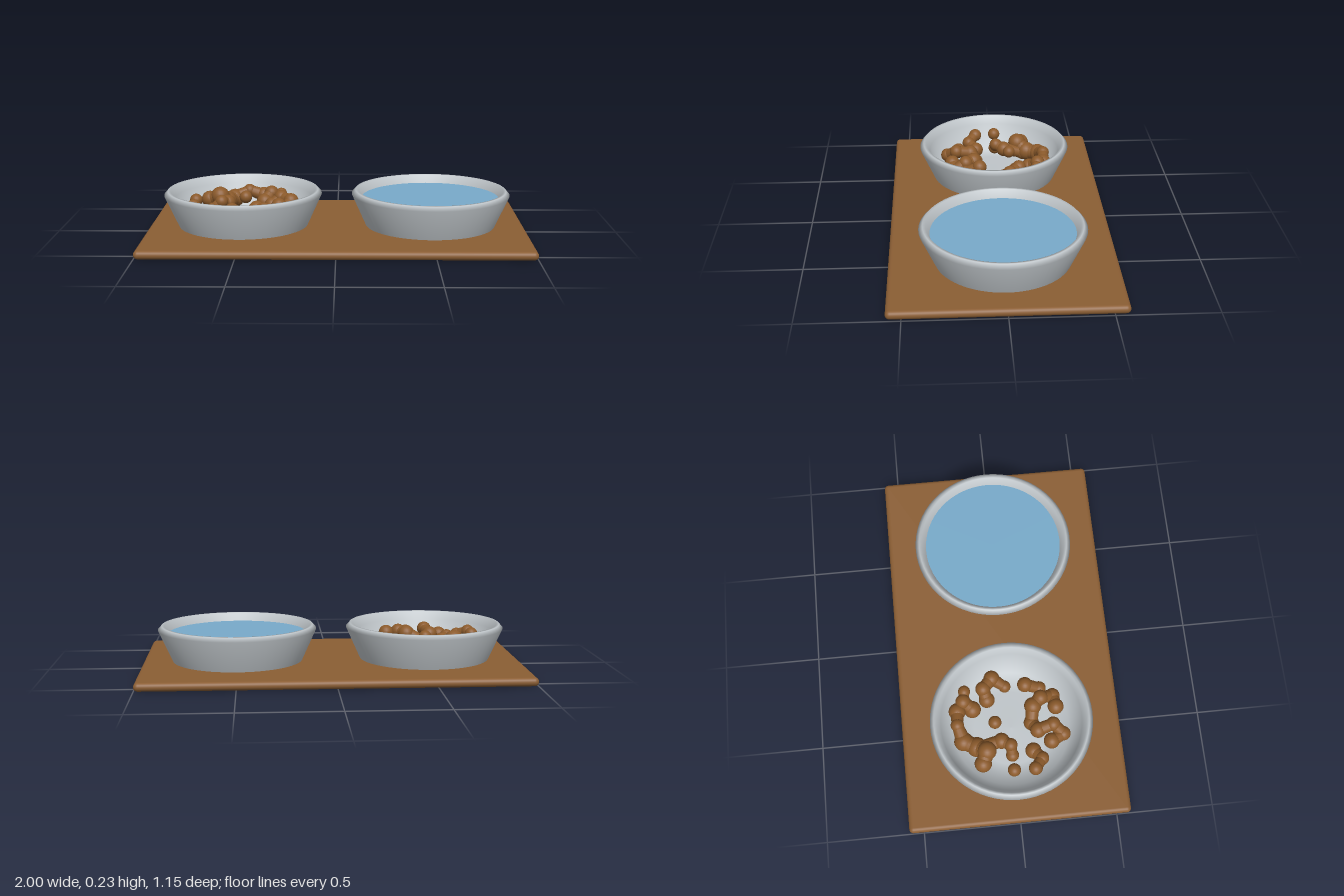
import * as THREE from 'three';
import { RoundedBoxGeometry } from 'three/addons/geometries/RoundedBoxGeometry.js';

const material = (name, color, side = THREE.FrontSide) => {
  const m = new THREE.MeshStandardMaterial({ color, side });
  m.name = name;
  return m;
};

function addMesh(parent, name, geometry, mat, x = 0, y = 0, z = 0) {
  const mesh = new THREE.Mesh(geometry, mat);
  mesh.name = name;
  mesh.position.set(x, y, z);
  parent.add(mesh);
  return mesh;
}

export function createModel() {
  const model = new THREE.Group();
  model.name = 'feedingStation';
  const wood = material('wood', 0x8b5e34);
  const metal = material('brushedMetal', 0xc0c6ca, THREE.DoubleSide);
  const waterBlue = material('water', 0x78aaca);
  const kibbleBrown = material('kibble', 0x8b5a2b);

  // Tray with fully rounded edges
  addMesh(model, 'tray', new RoundedBoxGeometry(2, 0.044, 1.15, 4, 0.0219), wood, 0, 0.023, 0);

  // Bowl profile: underside, foot ring, outer wall, bevelled rim, inner wall, floor
  const profile = [
    [0, 0.02], [0.195, 0.003], [0.2, 0], [0.325, 0], [0.345, 0.045], [0.42, 0.212], [0.4, 0.234],
    [0.386, 0.234], [0.365, 0.19], [0.305, 0.05], [0.195, 0.048], [0, 0.055],
  ].map(([r, y]) => new THREE.Vector2(r, y));
  const bowlGeometry = new THREE.LatheGeometry(profile, 64);
  addMesh(model, 'foodBowl', bowlGeometry, metal, -0.5);
  addMesh(model, 'waterBowl', bowlGeometry, metal, 0.5);

  // Water surface
  const disc = new THREE.CircleGeometry(0.366, 64).rotateX(-Math.PI / 2);
  addMesh(model, 'waterSurface', disc, waterBlue, 0.5, 0.19, 0);

  // Kibble clusters: chains of [x, z, radius] lumps, relative to the tray
  const clusters = [
    [[-0.7, -0.165, 0.045], [-0.64, -0.14, 0.05], [-0.605, -0.19, 0.052], [-0.57, -0.255, 0.05],
      [-0.49, -0.28, 0.035], [-0.41, -0.275, 0.045], [-0.365, -0.24, 0.04], [-0.31, -0.23, 0.032]],
    [[-0.365, -0.24, 0.04], [-0.4, -0.195, 0.045]],
    [[-0.605, -0.17, 0.04], [-0.59, -0.06, 0.042], [-0.62, -0.015, 0.035], [-0.665, -0.01, 0.034]],
    [[-0.755, -0.01, 0.034]],
    [[-0.495, -0.085, 0.034]],
    [[-0.355, -0.115, 0.042], [-0.305, -0.13, 0.04], [-0.25, -0.08, 0.042], [-0.29, -0.015, 0.032]],
    [[-0.755, 0.1, 0.036], [-0.7, 0.14, 0.036], [-0.65, 0.1, 0.042]],
    [[-0.61, 0.2, 0.042], [-0.575, 0.265, 0.038], [-0.53, 0.215, 0.038], [-0.55, 0.135, 0.042],
      [-0.5, 0.105, 0.04], [-0.42, 0.12, 0.045], [-0.38, 0.165, 0.04], [-0.365, 0.23, 0.04],
      [-0.43, 0.24, 0.042]],
    [[-0.32, 0.165, 0.036], [-0.305, 0.09, 0.04]],
  ];
  const food = new THREE.Group();
  food.name = 'kibblePile';
  model.add(food);
  const up = new THREE.Vector3(0, 1, 0);
  const sphere = new THREE.SphereGeometry(1, 20, 14);
  clusters.forEach((chain, c) => {
    let previous = null;
    chain.forEach(([x, z, r], i) => {
      const p = new THREE.Vector3(x, 0.14 + 0.025 * Math.sin(i * 1.9 + c * 2.3), z);
      if (chain.length === 1) p.y = 0.17;
      addMesh(food, 'kibbleLump', sphere, kibbleBrown, p.x, p.y, p.z).scale.setScalar(r);
      // Neck joining neighbouring lumps
      if (previous) {
        const step = p.clone().sub(previous.p);
        const neck = new THREE.CylinderGeometry(r * 0.82, previous.r * 0.82, step.length(), 16, 1, true);
        const mid = p.clone().add(previous.p).multiplyScalar(0.5);
        addMesh(food, 'kibbleNeck', neck, kibbleBrown, mid.x, mid.y, mid.z)
          .quaternion.setFromUnitVectors(up, step.normalize());
      }
      previous = { p, r };
    });
  });

  return model;
}
